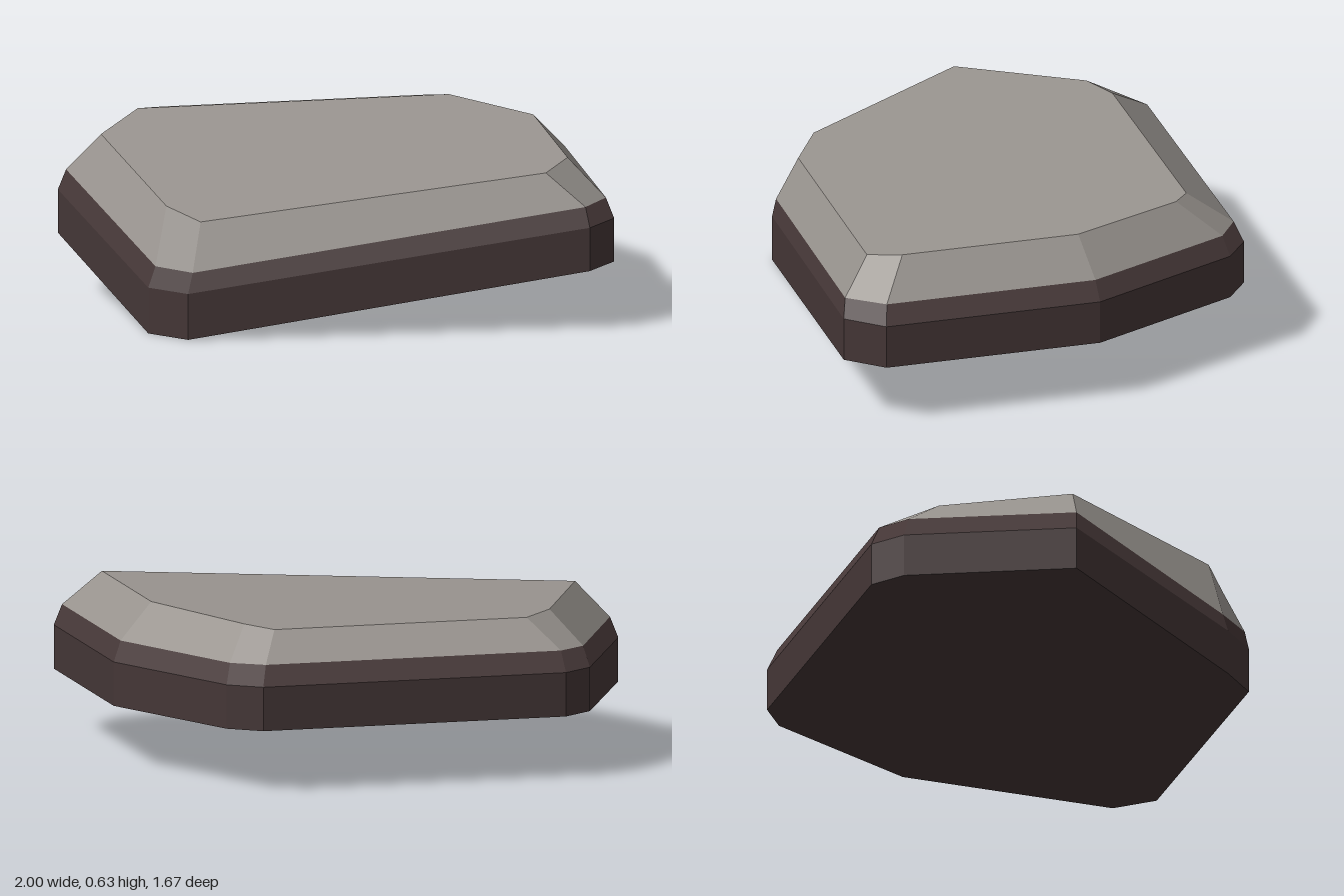
import * as THREE from 'three';

// Each ring runs round the slab: back edge, left side, front, right side
const outline = [[-0.6, -0.84], [0.6, -0.84], [0.72, -0.75], [1, -0.15], [1, 0.7],
  [0.88, 0.835], [-0.65, 0.67], [-0.78, 0.54], [-1, -0.15], [-0.72, -0.75]];
const shoulder = [[-0.59, -0.805], [0.58, -0.805], [0.7, -0.725], [0.97, -0.14], [0.97, 0.69],
  [0.865, 0.825], [-0.63, 0.66], [-0.75, 0.53], [-0.97, -0.14], [-0.7, -0.725]];
const crown = [[-0.5, 0.595, -0.64], [0.5, 0.595, -0.64], [0.6, 0.61, -0.57], [0.84, 0.63, -0.11],
  [0.84, 0.63, 0.59], [0.735, 0.6, 0.7], [-0.585, 0.44, 0.585], [-0.7, 0.485, 0.49],
  [-0.84, 0.63, -0.11], [-0.61, 0.61, -0.57]];

// Corners 6 and 7 sag towards the ground
const level = (pts, y, low) => pts.map(([x, z], i) => [x, i === 6 || i === 7 ? low : y, z]);

// Strips of four corners that close a ring from back to front
const strips = [[0, 1, 2, 9], [9, 2, 3, 8], [8, 3, 4, 7], [7, 4, 5, 6]];

// Average normal of a loop of corners
function loopNormal(loop) {
  const sum = new THREE.Vector3();
  loop.forEach((p, i) => {
    const next = new THREE.Vector3(...loop[(i + 1) % loop.length]);
    sum.add(new THREE.Vector3(...p).cross(next));
  });
  return sum.normalize().toArray();
}

// A facet is a list of triangle corners that share one normal
function cap(ring, up) {
  const corners = strips.flatMap(([a, b, c, d]) => (up ? [a, c, b, a, d, c] : [a, b, c, a, c, d]));
  return [{ corners: corners.map((i) => ring[i]), normal: loopNormal(up ? [...ring].reverse() : ring) }];
}

// Faces between two rings, shaded along the slope from ring "from" to ring "to"
function band(lower, upper, from = lower, to = upper) {
  return lower.map((a, i) => {
    const j = (i + 1) % lower.length;
    return {
      corners: [lower[j], a, upper[i], lower[j], upper[i], upper[j]],
      normal: loopNormal([from[j], from[i], to[i], to[j]]),
    };
  });
}

function part(name, facets, material) {
  const positions = facets.flatMap((f) => f.corners.flat());
  const normals = facets.flatMap((f) => f.corners.flatMap(() => f.normal));
  const geometry = new THREE.BufferGeometry();
  geometry.setAttribute('position', new THREE.Float32BufferAttribute(positions, 3));
  geometry.setAttribute('normal', new THREE.Float32BufferAttribute(normals, 3));
  const mesh = new THREE.Mesh(geometry, material);
  mesh.name = name;
  return mesh;
}

export function createModel() {
  const earth = new THREE.MeshStandardMaterial({ color: 0x443636 });
  earth.name = 'darkEarth';
  const stone = new THREE.MeshStandardMaterial({ color: 0x9a9590 });
  stone.name = 'greyStone';

  const foot = level(outline, 0.24, 0);
  const rim = level(outline, 0.41, 0.18);
  const ledge = level(shoulder, 0.49, 0.26);

  const group = new THREE.Group();
  group.name = 'rockSlab';
  // Dark base: underside, wall and narrow chamfer
  group.add(part('base', [...cap(foot, false), ...band(foot, rim), ...band(rim, ledge, rim, crown)], earth));
  // Grey cap: wide bevel and faceted top
  group.add(part('stoneTop', [...band(ledge, crown, rim, crown), ...cap(crown, true)], stone));
  return group;
}
